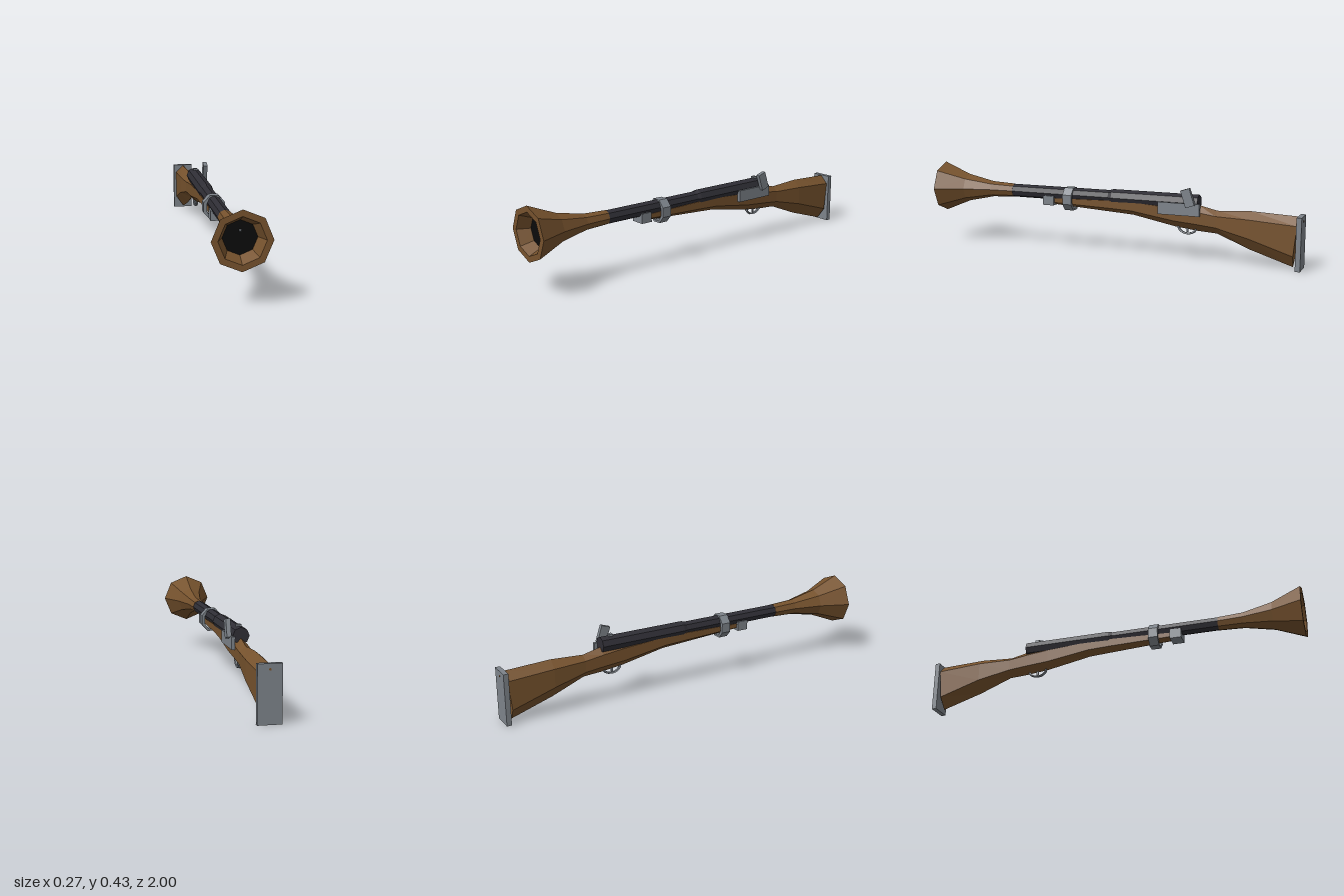
import * as THREE from 'three';

const mat = (name, color) => {
  const m = new THREE.MeshStandardMaterial({ color, flatShading: true });
  m.name = name;
  return m;
};

export function createModel() {
  const wood = mat('wood', 0x76522d);
  const steel = mat('steel', 0x7d838a);
  const iron = mat('dark iron', 0x2f2e35);
  const black = mat('bore black', 0x0b0b0b);
  const model = new THREE.Group();
  const AXIS = 0.296; // height of the barrel axis

  const add = (name, geometry, material, x = 0, y = 0, z = 0) => {
    const mesh = new THREE.Mesh(geometry, material);
    mesh.name = name;
    mesh.position.set(x, y, z);
    model.add(mesh);
    return mesh;
  };
  const box = (name, material, w, h, d, x, y, z) =>
    add(name, new THREE.BoxGeometry(w, h, d), material, x, y, z);
  // Eight-sided body along z from [radius, z] pairs
  const turned = (name, material, profile) => {
    const pts = profile.map(([r, z]) => new THREE.Vector2(r, z));
    return add(name, new THREE.LatheGeometry(pts, 8).rotateX(Math.PI / 2), material, 0, AXIS, 0);
  };

  // Flared muzzle with rim and inner funnel
  turned('muzzleBell', wood, [
    [0, 0.57], [0.036, 0.57], [0.042, 0.7], [0.074, 0.85], [0.135, 1], [0.105, 1], [0.074, 0.93],
  ]);
  turned('bore', black, [[0.078, 0.938], [0, 0.938]]);
  box('frontSight', steel, 0.01, 0.007, 0.012, 0, 0.328, 0.944);

  // Barrel, thicker towards the breech
  turned('barrel', iron, [
    [0, -0.475], [0.041, -0.475], [0.041, -0.01], [0.035, 0.01], [0.035, 0.58], [0, 0.58],
  ]);
  box('rearSight', steel, 0.022, 0.014, 0.022, 0, 0.337, -0.42);

  // Stock: six-sided sections [z, ridge, shoulder, lower side, keel, half width]
  const rows = [
    [0.36, 0.275, 0.27, 0.25, 0.238, 0.026],
    [0, 0.285, 0.28, 0.24, 0.217, 0.032],
    [-0.12, 0.288, 0.28, 0.235, 0.21, 0.033],
    [-0.35, 0.288, 0.265, 0.2, 0.166, 0.033],
    [-0.47, 0.285, 0.252, 0.19, 0.152, 0.033],
    [-0.57, 0.262, 0.238, 0.18, 0.146, 0.033],
    [-0.74, 0.272, 0.235, 0.14, 0.078, 0.044],
    [-0.968, 0.262, 0.22, 0.07, 0.01, 0.042],
  ];
  const pos = [];
  const idx = [];
  rows.forEach(([z, top, up, low, keel, w], i) => {
    // the butt end slants forward towards the keel
    const slant = (y) => (i === rows.length - 1 ? z + 0.013 - 0.1 * (y - keel) : z);
    [[0, top], [-w, up], [-w, low], [0, keel], [w, low], [w, up]].forEach(([x, y]) =>
      pos.push(x, y, slant(y)));
  });
  for (let i = 0; i < rows.length - 1; i++) {
    for (let j = 0; j < 6; j++) {
      const a = i * 6 + j, b = i * 6 + ((j + 1) % 6);
      idx.push(a, a + 6, b, b, a + 6, b + 6);
    }
  }
  const last = (rows.length - 1) * 6;
  for (let j = 1; j < 5; j++) {
    idx.push(0, j, j + 1);
    idx.push(last, last + j + 1, last + j);
  }
  const stock = new THREE.BufferGeometry();
  stock.setAttribute('position', new THREE.Float32BufferAttribute(pos, 3));
  stock.setIndex(idx);
  stock.computeVertexNormals();
  add('stock', stock, wood);

  // Butt plate with its plug
  box('buttPlate', steel, 0.11, 0.265, 0.025, 0, 0.1325, -0.9875);
  add('buttPlug', new THREE.CylinderGeometry(0.006, 0.006, 0.004, 6).rotateX(Math.PI / 2),
    wood, 0, 0.24, -0.999);

  // Barrel band and nose cap
  const octagon = (shape, rx, ry) => {
    for (let k = 0; k < 8; k++) {
      const t = ((k + 0.5) * Math.PI) / 4;
      shape[k ? 'lineTo' : 'moveTo'](rx * Math.cos(t), ry * Math.sin(t));
    }
    shape.closePath();
    return shape;
  };
  const band = octagon(new THREE.Shape(), 0.058, 0.065);
  band.holes.push(octagon(new THREE.Path(), 0.04, 0.054));
  add('barrelBand', new THREE.ExtrudeGeometry(band, { depth: 0.05, bevelEnabled: false }),
    steel, 0, 0.272, 0.21);
  box('noseCap', steel, 0.076, 0.05, 0.06, 0, 0.259, 0.35);

  // Lock plate and tilted hammer on the left side
  box('lockPlate', steel, 0.018, 0.062, 0.22, 0.041, 0.264, -0.38);
  box('hammer', steel, 0.022, 0.09, 0.048, 0.056, 0.326, -0.432).rotation.x = 0.32;

  // Trigger guard loop and trigger
  const guard = new THREE.TorusGeometry(0.048, 0.007, 5, 8, Math.PI);
  guard.rotateZ(Math.PI).rotateY(Math.PI / 2).scale(1.3, 0.75, 1);
  add('triggerGuard', guard, steel, 0, 0.17, -0.415);
  box('trigger', steel, 0.008, 0.028, 0.01, 0, 0.156, -0.415);

  return model;
}
